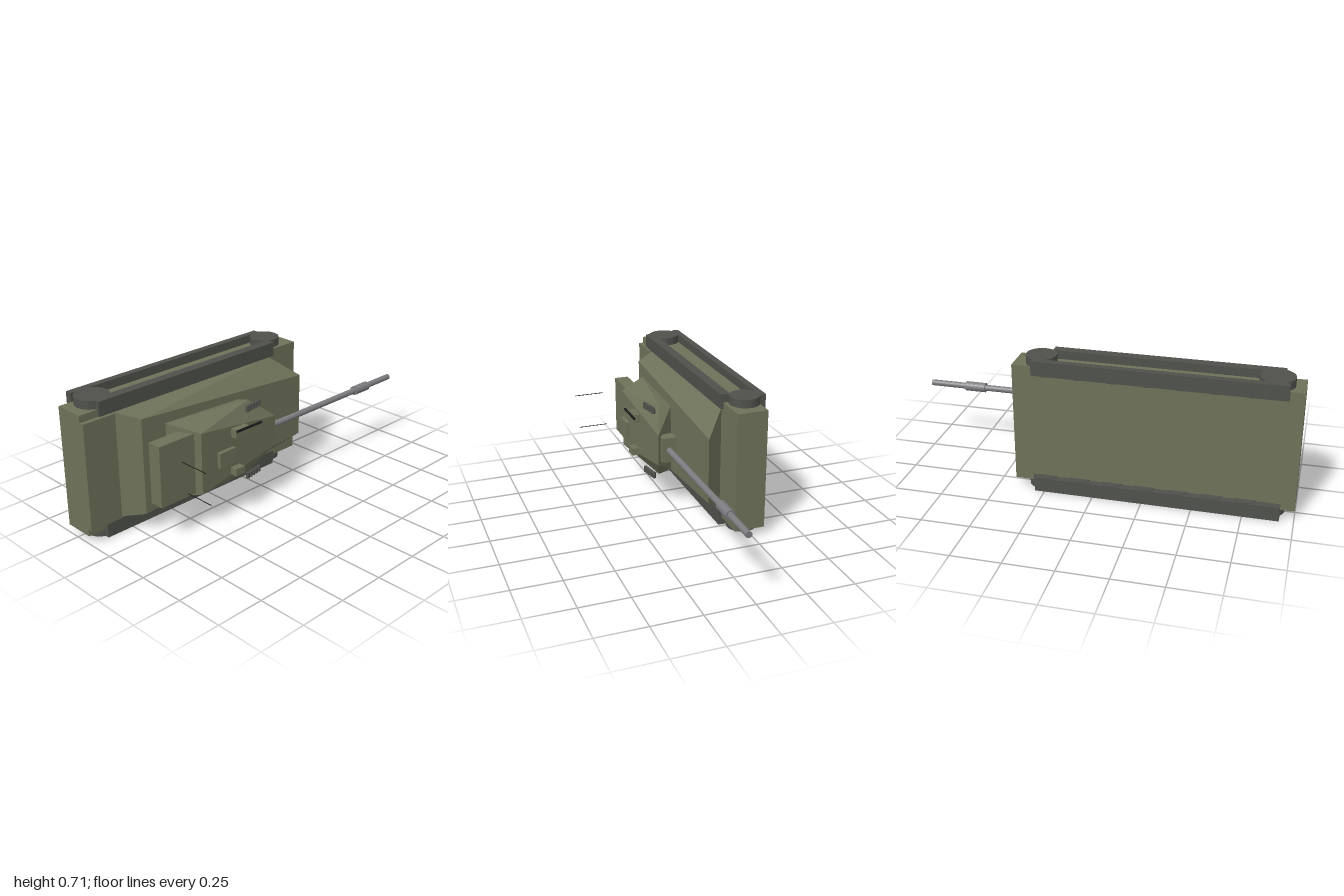
import * as THREE from 'three';
import { ConvexGeometry } from 'three/addons/geometries/ConvexGeometry.js';

const paint = (color) => new THREE.MeshStandardMaterial({ color, flatShading: true });
const MID = 0.356; // centre plane between the two tracks

export function createModel() {
  const root = new THREE.Group();
  root.name = 'tank';
  const olive = paint(0x6e7259), trackGrey = paint(0x4f514c), steel = paint(0x7c7c80), black = paint(0x181818);

  function add(name, geometry, material) {
    const mesh = new THREE.Mesh(geometry, material);
    mesh.name = name;
    root.add(mesh);
    return mesh;
  }
  // Box given by its ranges along x, y and z
  function box(name, [x0, x1], [y0, y1], [z0, z1], material = olive) {
    const g = new THREE.BoxGeometry(x1 - x0, y1 - y0, z1 - z0);
    g.translate((x0 + x1) / 2, (y0 + y1) / 2, (z0 + z1) / 2);
    return add(name, g, material);
  }
  // Cylinder along one axis, centred on a point
  function rod(name, axis, r, length, [x, y, z], material, sides = 16) {
    const g = new THREE.CylinderGeometry(r, r, length, sides);
    if (axis === 'x') g.rotateZ(-Math.PI / 2);
    if (axis === 'z') g.rotateX(Math.PI / 2);
    g.translate(x, y, z);
    return add(name, g, material);
  }
  // Faceted solid from half-profile points [x, half width, z], mirrored about MID
  function wedge(name, points) {
    const corners = points.flatMap(([x, w, z]) =>
      [1, -1].map((s) => new THREE.Vector3(x, MID + s * w, z)));
    return add(name, new ConvexGeometry(corners), olive);
  }

  // Hull
  box('lowerHull', [-1, 0.41], [0.043, 0.669], [-0.315, -0.155]);
  box('rearDeck', [-1, -0.82], [0.08, 0.633], [-0.16, -0.13]);
  wedge('upperHull', [
    [-0.82, 0.278, -0.155], [0.21, 0.278, -0.155],
    [-0.74, 0.25, -0.04], [0.335, 0.171, -0.04],
  ]);

  // Running gear on both sides
  for (const side of [1, -1]) {
    const y = (d) => MID + side * d;
    const range = [y(0.281), y(0.356)].sort((a, b) => a - b);
    box('lowerTrack', [-0.93, 0.3], range, [-0.352, -0.316], trackGrey);
    box('upperTrack', [-0.9, 0.235], range, [-0.19, -0.14], trackGrey);
    rod('driveWheel', 'y', 0.085, 0.075, [-0.866, y(0.3185), -0.24], trackGrey, 32);
    rod('idlerWheel', 'y', 0.077, 0.075, [0.275, y(0.3185), -0.249], trackGrey, 32);
    for (let i = 0; i < 7; i++)
      rod('roadWheel', 'y', 0.055, 0.03, [0.24 - i * 0.167, y(0.293), -0.296], trackGrey, 20);
  }

  // Turret
  wedge('turret', [
    [-0.615, 0.197, -0.02], [-0.15, 0.179, -0.02], [-0.14, 0.197, 0.05],
    [-0.525, 0.161, 0.13], [0, 0.083, 0.102],
  ]);
  box('turretBustle', [-0.755, -0.5], [0.198, 0.515], [0.025, 0.1]);
  box('mantlet', [-0.053, 0.012], [0.29, 0.424], [0.009, 0.085]);

  // Gun
  rod('gunBarrel', 'x', 0.016, 0.99, [0.505, MID, 0.047], steel, 24);
  rod('boreEvacuator', 'x', 0.025, 0.11, [0.748, MID, 0.047], steel, 24);

  // Roof fittings
  box('commanderHatch', [-0.325, -0.235], [0.433, 0.477], [0.122, 0.155]);
  box('roofHatch', [-0.44, -0.337], [0.316, 0.396], [0.147, 0.168]);
  box('gunnerSight', [-0.328, -0.27], [0.23, 0.269], [0.12, 0.158]);
  rod('machineGun', 'x', 0.006, 0.165, [-0.253, 0.481, 0.175], black, 12);

  // Smoke launchers
  for (const side of [1, -1])
    for (let i = 0; i < 5; i++)
      rod('smokeLauncher', 'y', 0.01, 0.031, [-0.2 + i * 0.023, MID + side * 0.183, 0.107 - i * 0.004], trackGrey, 10);

  // Antennas
  rod('antenna', 'z', 0.002, 0.16, [-0.7, 0.455, 0.273], black, 8);
  rod('antenna', 'z', 0.002, 0.16, [-0.664, 0.276, 0.265], black, 8);

  return root;
}
